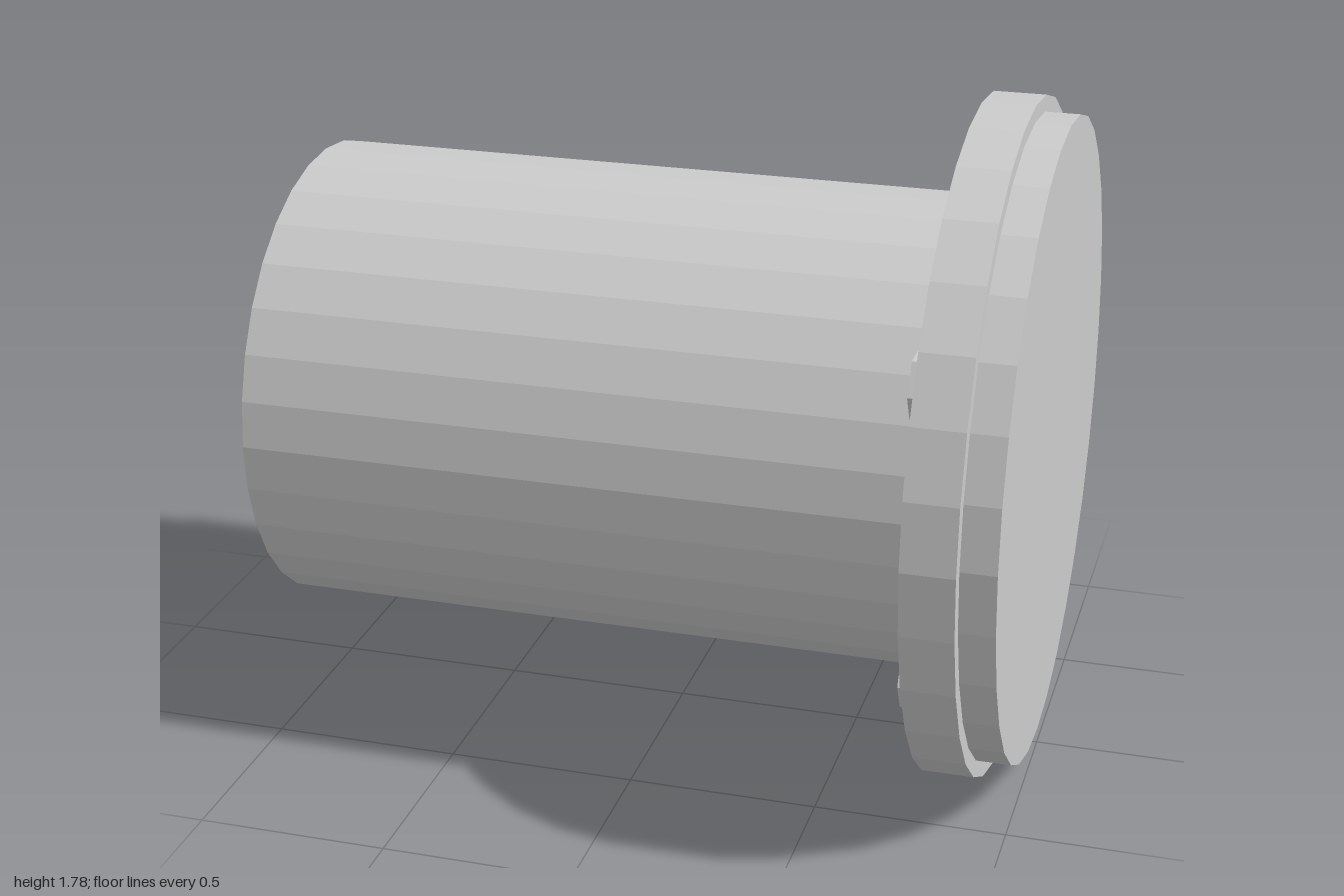
import * as THREE from 'three';

const material = new THREE.MeshStandardMaterial({ color: 0xcccccc, flatShading: true });
const AXIS_Y = 0.888;

// Faceted cylinder lying along x, from x0 to x1
function disc(name, radius, x0, x1) {
  const geometry = new THREE.CylinderGeometry(radius, radius, x1 - x0, 32);
  geometry.rotateZ(-Math.PI / 2);
  const mesh = new THREE.Mesh(geometry, material);
  mesh.name = name;
  mesh.position.set((x0 + x1) / 2, AXIS_Y, 0);
  return mesh;
}

// Hexagonal head with a cross-shaped recess, facing -x
function boltGeometry(radius, height) {
  const shape = new THREE.Shape();
  for (let i = 0; i < 6; i++) {
    const a = (i * Math.PI) / 3;
    shape[i ? 'lineTo' : 'moveTo'](radius * Math.cos(a), radius * Math.sin(a));
  }
  shape.closePath();

  const w = 0.01, l = 0.058;
  const cross = [
    [w, w], [w, l], [-w, l], [-w, w], [-l, w], [-l, -w],
    [-w, -w], [-w, -l], [w, -l], [w, -w], [l, -w], [l, w],
  ];
  shape.holes.push(new THREE.Path(cross.map(([x, y]) => new THREE.Vector2(x, y))));

  const geometry = new THREE.ExtrudeGeometry(shape, { depth: height, bevelEnabled: false });
  return geometry.rotateY(-Math.PI / 2);
}

export function createModel() {
  const model = new THREE.Group();
  model.name = 'flangedPipe';

  model.add(
    disc('pipe', 0.622, -1, 0.78),
    disc('flange', 0.888, 0.775, 0.91),
    disc('endPlate', 0.845, 0.905, 1),
  );

  // Six bolts spaced evenly around the back of the flange
  const bolts = new THREE.Group();
  bolts.name = 'bolts';
  const head = boltGeometry(0.087, 0.022);
  for (let i = 0; i < 6; i++) {
    const a = (i * Math.PI) / 3;
    const bolt = new THREE.Mesh(head, material);
    bolt.name = 'bolt';
    bolt.position.set(0.775, AXIS_Y + 0.755 * Math.cos(a), 0.755 * Math.sin(a));
    bolt.rotation.x = a;
    bolts.add(bolt);
  }
  model.add(bolts);

  return model;
}
